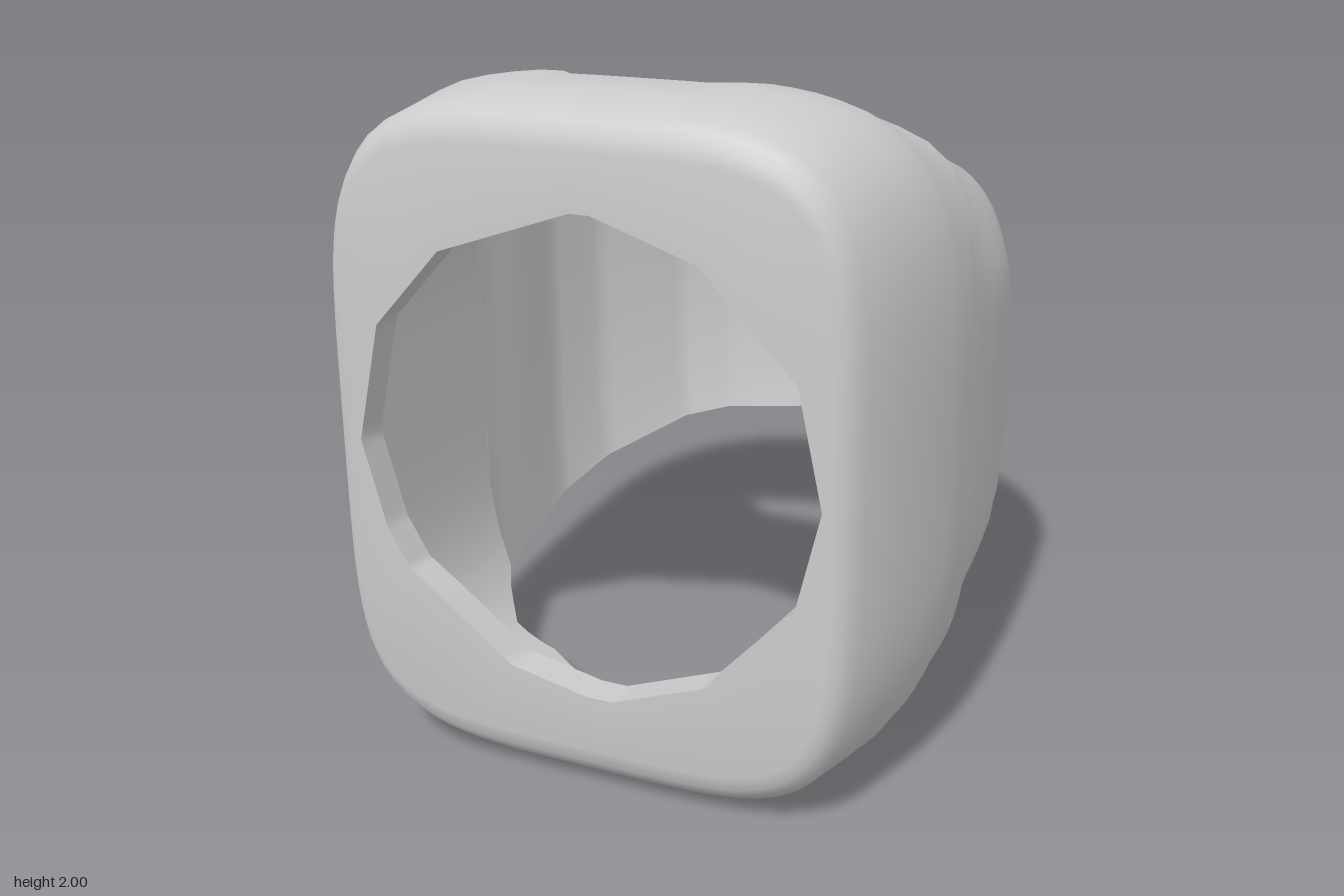
import * as THREE from 'three';
import { toCreasedNormals } from 'three/addons/utils/BufferGeometryUtils.js';

// Skin a list of closed loops; closeRows joins the last loop to the first
function loft(rows, closeRows, crease) {
  const n = rows[0].length, pos = rows.flat(2), idx = [];
  for (let i = 0; i < rows.length - (closeRows ? 0 : 1); i++) {
    const k = (i + 1) % rows.length;
    for (let j = 0; j < n; j++) {
      const m = (j + 1) % n;
      const a = i * n + j, b = i * n + m, c = k * n + m, d = k * n + j;
      idx.push(a, b, c, a, c, d);
    }
  }
  const g = new THREE.BufferGeometry();
  g.setAttribute('position', new THREE.Float32BufferAttribute(pos, 3));
  g.setIndex(idx);
  return toCreasedNormals(g, crease);
}

// Split every edge of a polyline into equal steps
function subdivide(pts, steps, closed) {
  const out = [];
  for (let i = 0; i < pts.length - (closed ? 0 : 1); i++) {
    const p = pts[i], q = pts[(i + 1) % pts.length];
    for (let s = 0; s < steps; s++) {
      const t = s / steps;
      out.push([p[0] + (q[0] - p[0]) * t, p[1] + (q[1] - p[1]) * t]);
    }
  }
  if (!closed) out.push(pts[pts.length - 1]);
  return out;
}

// Piecewise-linear lookup
function lookup(table, x) {
  for (let i = 1; i < table.length; i++) {
    const [x0, y0] = table[i - 1], [x1, y1] = table[i];
    if (x <= x1) return y0 + (y1 - y0) * Math.max(0, (x - x0) / (x1 - x0));
  }
  return table[table.length - 1][1];
}

const MID = 1; // height of the centre line

// Front bezel: hollow rounded-rectangle shell with a faceted opening
function bezelGeometry() {
  const hole = subdivide([
    [0.03, 0.70], [0.33, 0.60], [0.60, 0.32], [0.67, -0.01], [0.60, -0.30], [0.46, -0.46],
    [0.35, -0.58], [0.06, -0.69], [-0.02, -0.69], [-0.26, -0.64], [-0.48, -0.47], [-0.58, -0.40],
    [-0.65, -0.28], [-0.72, -0.02], [-0.64, 0.33], [-0.43, 0.56], [-0.03, 0.70],
  ], 8, true);
  // z, half width, half height, squareness, sideways shift
  const sections = [
    [0.92, 0.73, 0.86, 5, -0.035], [0.91, 0.755, 0.905, 4.7, -0.03], [0.89, 0.77, 0.935, 4.5, -0.025],
    [0.86, 0.785, 0.96, 4.4, -0.02], [0.72, 0.825, 0.987, 4, -0.01], [0.58, 0.855, 1, 4, -0.005],
    [0.45, 0.872, 0.99, 4, 0], [0.40, 0.877, 0.975, 4, 0], [0.37, 0.879, 0.96, 4, 0], [0.22, 0.881, 0.955, 4, 0],
  ];
  const onOutline = (p, a, b, e) => {
    const l = Math.hypot(p[0], p[1]), c = p[0] / l, s = p[1] / l;
    const r = Math.pow(Math.pow(Math.abs(c) / a, e) + Math.pow(Math.abs(s) / b, e), -1 / e);
    return [c * r, s * r];
  };
  // The back edge is scalloped over the finger opening and sweeps back at the sides
  const backZ = (p) => {
    const [x, y] = onOutline(p, 0.87, 0.98, 4).map(Math.abs);
    if (x < 0.62) return lookup([[0, 0.55], [0.2, 0.55], [0.24, 0.49], [0.44, 0.38], [0.62, 0.37]], x);
    return Math.max(0.22, 0.22 + (y - 0.8) * 1.18);
  };
  const ring = (a, b, e, shift, zOf) => hole.map((p) => {
    const [x, y] = onOutline(p, a, b, e);
    return [x + shift, y + MID, zOf(p)];
  });
  const plateBack = 0.82;
  const rows = [
    hole.map(([x, y]) => [x, y + MID, 0.92]),
    ...sections.map(([z, a, b, e, shift]) => ring(a, b, e, shift, (p) => Math.max(z, backZ(p)))),
    ring(0.73, 0.92, 4, -0.01, backZ), // inner rim
    ring(0.725, 0.84, 4, -0.02, () => plateBack), // cavity corner
    hole.map(([x, y]) => [x, y + MID, plateBack]),
  ];
  return loft(rows, true, 0.6);
}

// Band: faceted inside, pillowed sides and rounded back outside
function bandGeometry() {
  const path = subdivide([
    [0.68, 0.23], [0.68, 0.20], [0.61, -0.40], [0.40, -0.68], [0.28, -0.77], [-0.01, -0.84],
    [-0.30, -0.78], [-0.44, -0.70], [-0.64, -0.44], [-0.71, -0.24], [-0.73, 0.20], [-0.73, 0.23],
  ], 8, false);
  const halfHeight = (z) => lookup([[-0.86, 0.4], [0.22, 0.8], [0.42, 0.97]], z);
  const sideX = (y, z) =>
    (0.88 - 0.22 * Math.max(0, 0.1 - z) ** 2) * Math.pow(Math.max(0, 1 - y ** 4), 0.25);
  const N = 28;
  const rows = path.map(([x, z]) => {
    const H = halfHeight(z), l = Math.hypot(x, z), sx = x / l, cz = z / l, loop = [];
    const inner = (y) => Math.min(l, (sideX(y, z) - 0.05) / Math.max(Math.abs(sx), 0.01));
    // outside, top to bottom: the side pillow is cut by a barrel-shaped back
    for (let i = 0; i <= N; i++) {
      const v = Math.cos((i / N) * Math.PI), y = v * H;
      const pillow = sideX(y, cz * 0.9) / Math.max(Math.abs(sx), 0.01);
      const barrel = 0.92 - 0.3 * y * y + 0.8 * Math.max(0, cz) ** 2;
      const ri = inner(y);
      const wall = Math.max(0.03, Math.min(pillow, barrel) - ri);
      const r = ri + wall * (1 - 0.4 * Math.pow(Math.abs(v), 12));
      loop.push([sx * r, y + MID, cz * r]);
    }
    // inside, bottom to top, slightly hollowed at the back
    for (const v of [-1, -0.6, 0, 0.6, 1]) {
      const r = inner(v * H) + (Math.abs(v) < 1 ? 0.025 * Math.min(1, Math.max(0, -2 * cz)) : 0);
      loop.push([sx * r, v * H + MID, cz * r]);
    }
    return loop;
  });
  return loft(rows, false, 0.5);
}

export function createModel() {
  const group = new THREE.Group();
  group.name = 'ring';
  const material = new THREE.MeshStandardMaterial({ color: 0xcccccc, side: THREE.DoubleSide });
  const add = (name, geometry) => {
    const mesh = new THREE.Mesh(geometry, material);
    mesh.name = name;
    group.add(mesh);
  };
  add('bezel', bezelGeometry());
  add('band', bandGeometry());
  return group;
}
